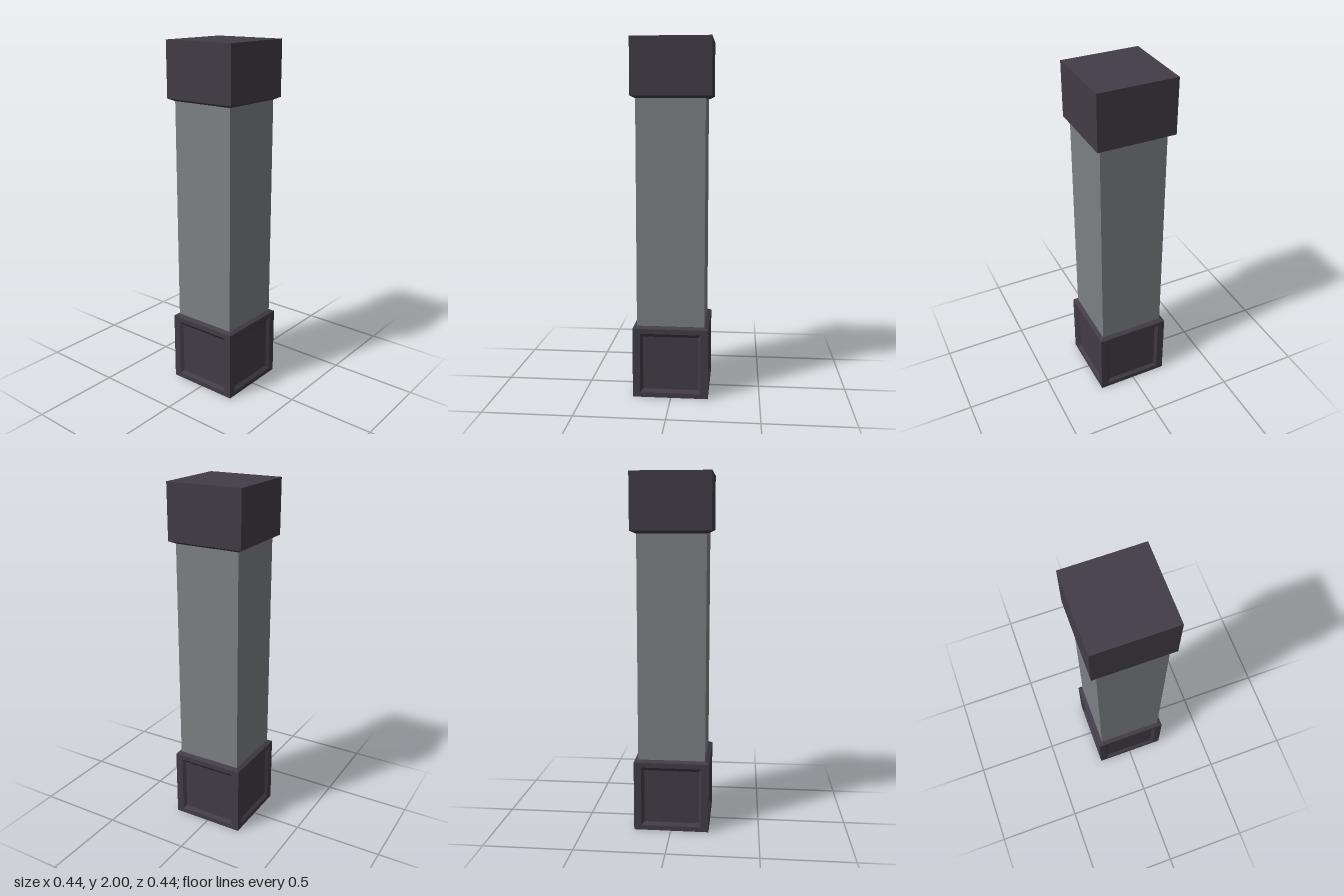
import * as THREE from 'three';

const stone = new THREE.MeshStandardMaterial({ color: 0x423c46 });
stone.name = 'dark stone';
const metal = new THREE.MeshStandardMaterial({ color: 0x7c8084, side: THREE.DoubleSide });
metal.name = 'grey shaft';

// Square turned solid from [half width, y] pairs, listed bottom to top
function squareTurn(name, profile, material) {
  const points = profile.map(([r, y]) => new THREE.Vector2(r * Math.SQRT2, y));
  const geometry = new THREE.LatheGeometry(points, 4, Math.PI / 4).toNonIndexed();
  geometry.computeVertexNormals();
  const mesh = new THREE.Mesh(geometry, material);
  mesh.name = name;
  return mesh;
}

// Framed panel made of nested rectangles [half width, bottom, top, z], outermost first
function recessedPanel(loops) {
  const corners = loops.map(([w, y0, y1, z]) => [[-w, y0, z], [w, y0, z], [w, y1, z], [-w, y1, z]]);
  const positions = [];
  const quad = (a, b, c, d) => positions.push(...a, ...b, ...c, ...a, ...c, ...d);
  for (let i = 0; i < corners.length - 1; i++) {
    for (let k = 0; k < 4; k++) {
      const n = (k + 1) % 4;
      quad(corners[i][k], corners[i][n], corners[i + 1][n], corners[i + 1][k]);
    }
  }
  quad(...corners[corners.length - 1]);
  const geometry = new THREE.BufferGeometry();
  geometry.setAttribute('position', new THREE.Float32BufferAttribute(positions, 3));
  geometry.computeVertexNormals();
  return geometry;
}

export function createModel() {
  const model = new THREE.Group();
  model.name = 'pillar';

  // Solid cap with a chamfered underside
  model.add(squareTurn('cap', [[0, 1.675], [0.19, 1.675], [0.22, 1.69], [0.22, 2], [0, 2]], stone));

  // Hollow shaft, open at the foot
  const lower = new THREE.Group();
  lower.name = 'shaftAndBase';
  lower.position.set(-0.003, 0, 0.003);
  lower.add(squareTurn('shaft', [[0.19, 0], [0.19, 1.69]], metal));

  // Base: bottom rim, chamfered top rim and four recessed panels
  const base = new THREE.Group();
  base.name = 'base';
  base.add(squareTurn('bottomRim', [[0.19, 0], [0.213, 0]], stone));
  base.add(squareTurn('topRim', [[0.213, 0.4], [0.19, 0.412]], stone));
  const panel = recessedPanel([
    [0.213, 0, 0.4, 0.213],
    [0.171, 0.027, 0.372, 0.213],
    [0.155, 0.045, 0.352, 0.197],
  ]);
  for (let i = 0; i < 4; i++) {
    const side = new THREE.Mesh(panel, stone);
    side.name = 'basePanel';
    side.rotation.y = i * Math.PI / 2;
    base.add(side);
  }
  lower.add(base);
  model.add(lower);
  return model;
}
